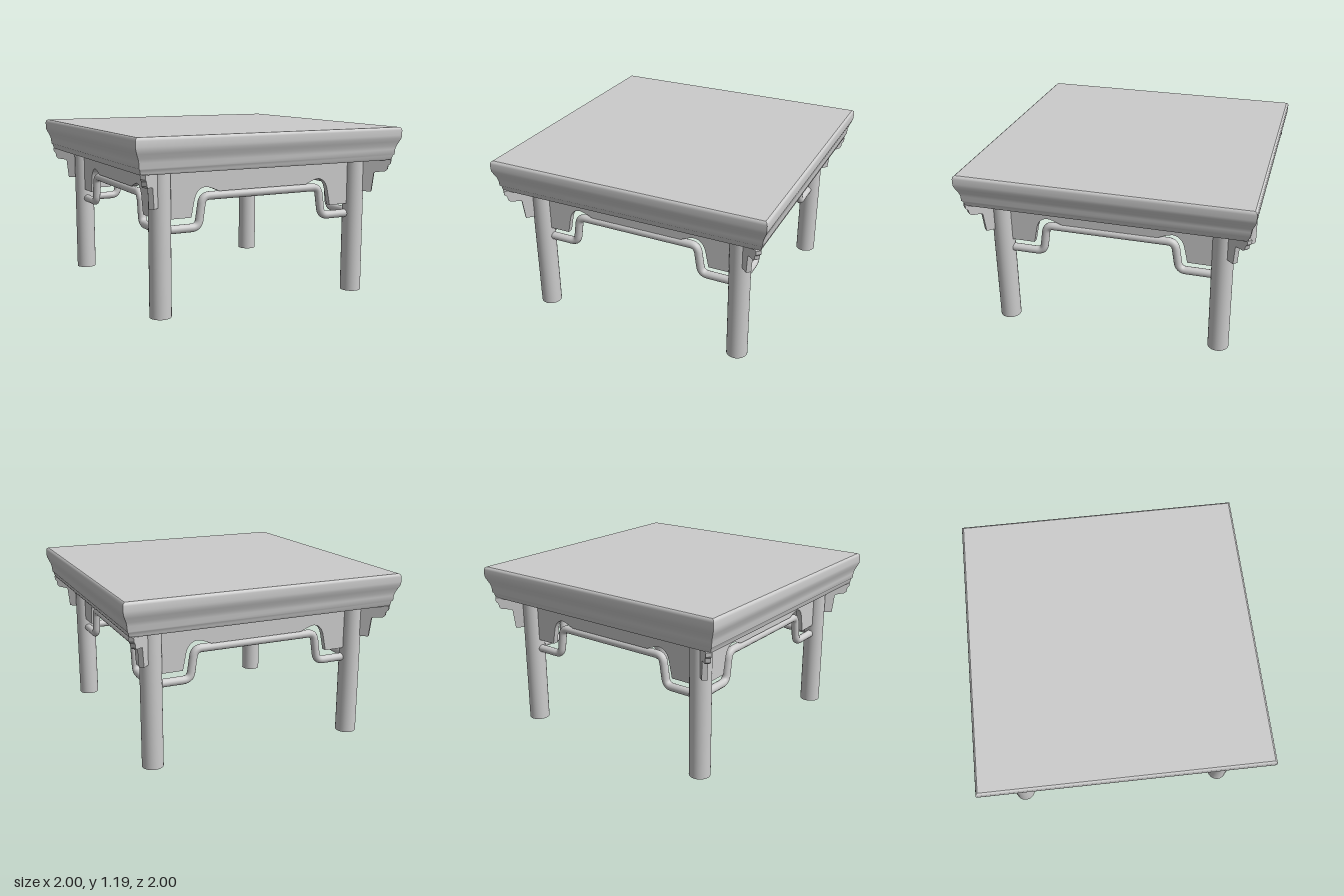
import * as THREE from 'three';

const grey = new THREE.MeshStandardMaterial({ color: 0xcccccc });
grey.name = 'plain grey';

const LEG_X = 0.757, LEG_Z = 0.775, LEG_R = 0.073, UNDER = 0.958;

function mesh(name, geometry) {
  const m = new THREE.Mesh(geometry, grey);
  m.name = name;
  return m;
}

function polygon(points) {
  return new THREE.Shape(points.map(([x, y]) => new THREE.Vector2(x, y)));
}

// Plate with its thickness centred on z = 0
function plate(shape, depth) {
  const g = new THREE.ExtrudeGeometry(shape, { depth, bevelEnabled: false, curveSegments: 8 });
  return g.translate(0, 0, -depth / 2);
}

// One moulded side of the square top, following a profile of [reach, height]
function mouldingSide(profile) {
  const pos = [], index = [];
  profile.forEach(([r, y], i) => {
    pos.push(-r, y, r, r, y, r);
    if (i) {
      const a = 2 * i - 2;
      index.push(a, a + 1, a + 3, a, a + 3, a + 2);
    }
  });
  const g = new THREE.BufferGeometry();
  g.setAttribute('position', new THREE.Float32BufferAttribute(pos, 3));
  g.setIndex(index);
  g.computeVertexNormals();
  return g;
}

function tabletop() {
  const group = new THREE.Group();
  group.name = 'tabletop';
  const profile = [
    [0.948, UNDER], [0.955, 0.97], [0.958, 0.99], [0.967, 1.0], [0.969, 1.035], [0.975, 1.06],
    [0.988, 1.09], [0.998, 1.115], [1, 1.135], [1, 1.17], [0.996, 1.184], [0.985, 1.192],
  ];
  for (let i = 0; i < 4; i++) {
    const side = mesh('moulding', mouldingSide(profile));
    side.rotation.y = i * Math.PI / 2;
    group.add(side);
  }
  const surface = mesh('surface', new THREE.PlaneGeometry(1.97, 1.97));
  surface.rotation.x = -Math.PI / 2;
  surface.position.y = 1.192;
  const underside = mesh('underside', new THREE.PlaneGeometry(1.896, 1.896));
  underside.rotation.x = Math.PI / 2;
  underside.position.y = UNDER;
  group.add(surface, underside);
  return group;
}

// Apron with an arched cutout, reaching to the leg centres
function apron(half) {
  const s = new THREE.Shape();
  s.moveTo(-half, UNDER + 0.005);
  s.lineTo(-half, 0.642);
  s.lineTo(-0.542, 0.642);
  s.lineTo(-0.52, 0.75);
  s.quadraticCurveTo(-0.505, 0.83, -0.44, 0.837);
  s.quadraticCurveTo(-0.40, 0.833, -0.34, 0.803);
  s.lineTo(0.34, 0.803);
  s.quadraticCurveTo(0.40, 0.833, 0.44, 0.837);
  s.quadraticCurveTo(0.505, 0.83, 0.52, 0.75);
  s.lineTo(0.542, 0.642);
  s.lineTo(half, 0.642);
  s.lineTo(half, UNDER + 0.005);
  return plate(s, 0.04);
}

// Round stretcher bar stepping up in the middle, with rounded bends
function stretcher(half) {
  const left = [[-half, 0.57], [-0.483, 0.57], [-0.452, 0.775]];
  const right = left.map(([x, y]) => [-x, y]).reverse();
  const pts = [...left, ...right].map(([x, y]) => new THREE.Vector3(x, y, 0));
  const path = new THREE.CurvePath();
  let from = pts[0];
  for (let i = 1; i < pts.length - 1; i++) {
    const p = pts[i];
    const toward = q => p.clone().add(q.clone().sub(p).setLength(0.05));
    const a = toward(pts[i - 1]), b = toward(pts[i + 1]);
    path.add(new THREE.LineCurve3(from, a));
    path.add(new THREE.QuadraticBezierCurve3(a, p, b));
    from = b;
  }
  path.add(new THREE.LineCurve3(from, pts[pts.length - 1]));
  return new THREE.TubeGeometry(path, 160, 0.028, 14, false);
}

// Stepped bracket, running outward along local x from the leg centre
const bracketShape = polygon([
  [0, 0.73], [0.132, 0.73], [0.14, 0.8], [0.148, 0.868], [0.175, 0.873], [0.225, 0.878],
  [0.24, 0.89], [0.246, 0.92], [0.262, 0.935], [0.264, UNDER + 0.005], [0, UNDER + 0.005],
]);

export function createModel() {
  const model = new THREE.Group();
  model.name = 'squareTable';
  model.add(tabletop());

  // Legs and their diagonal corner brackets
  for (const sx of [-1, 1]) for (const sz of [-1, 1]) {
    const leg = mesh('leg', new THREE.CylinderGeometry(LEG_R, LEG_R, UNDER, 28));
    leg.position.set(sx * LEG_X, UNDER / 2, sz * LEG_Z);
    const bracket = mesh('cornerBracket', plate(bracketShape, 0.036));
    bracket.position.set(sx * LEG_X, 0, sz * LEG_Z);
    bracket.rotation.y = Math.atan2(-sz, sx);
    model.add(leg, bracket);
  }

  // Apron and stretcher on each of the four sides
  for (let i = 0; i < 4; i++) {
    const half = i % 2 ? LEG_Z : LEG_X;
    const side = new THREE.Group();
    side.name = 'sideFrame';
    side.add(mesh('apron', apron(half)), mesh('stretcher', stretcher(half)));
    side.children.forEach(c => { c.position.z = i % 2 ? LEG_X : LEG_Z; });
    side.rotation.y = i * Math.PI / 2;
    model.add(side);
  }
  return model;
}
